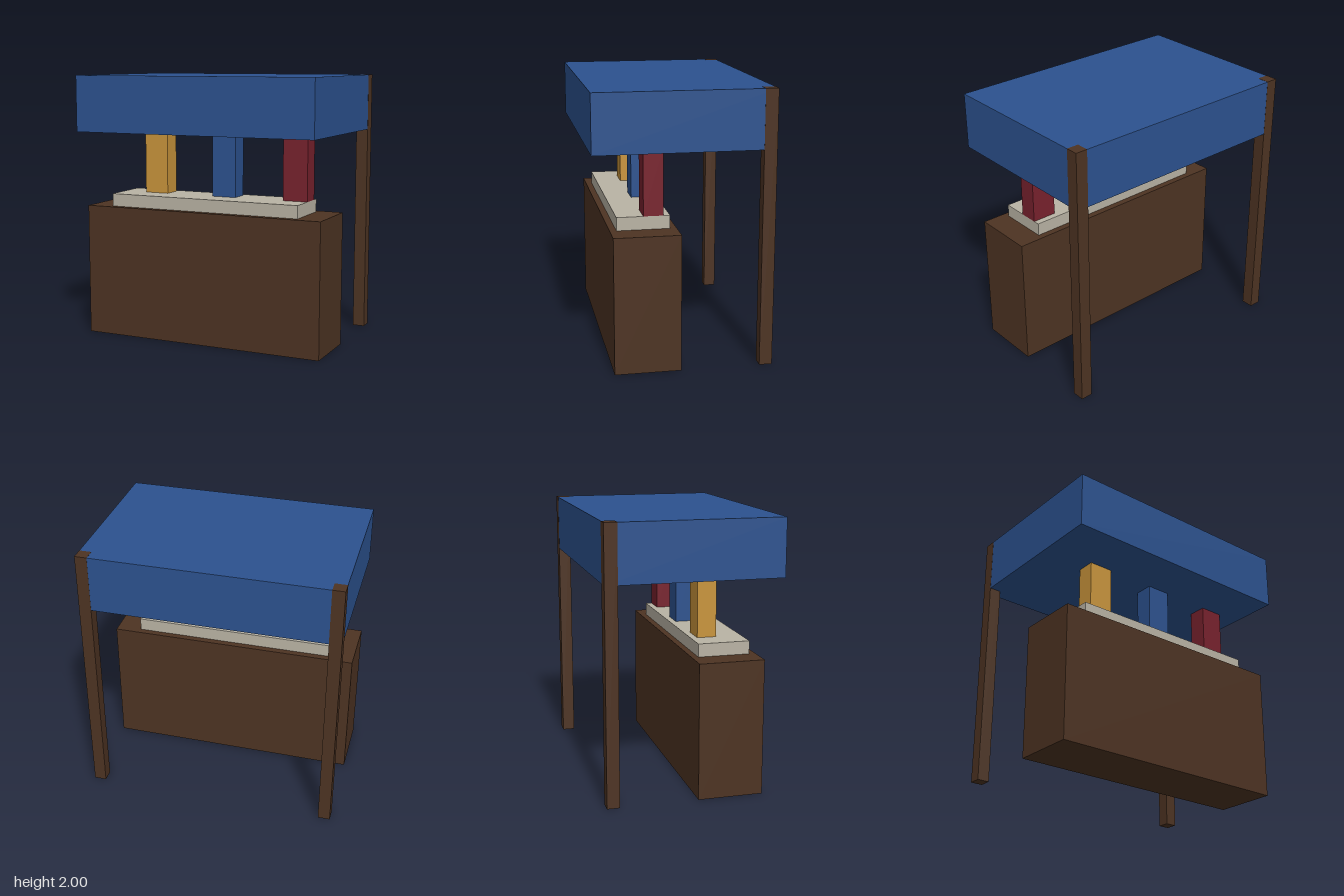
import * as THREE from 'three';

const paint = (name, color) => {
  const m = new THREE.MeshStandardMaterial({ color });
  m.name = name;
  return m;
};

export function createModel() {
  const group = new THREE.Group();
  const wood = paint('dark brown wood', 0x4d3322);
  const blue = paint('blue', 0x2c528f);
  const stone = paint('pale stone', 0xb9b3a4);
  const amber = paint('amber', 0xc9943b);
  const red = paint('dark red', 0x78212d);

  // Box given by its minimum and maximum corners
  const box = (name, material, [x0, y0, z0], [x1, y1, z1]) => {
    const mesh = new THREE.Mesh(new THREE.BoxGeometry(x1 - x0, y1 - y0, z1 - z0), material);
    mesh.position.set((x0 + x1) / 2, (y0 + y1) / 2, (z0 + z1) / 2);
    mesh.name = name;
    group.add(mesh);
  };

  // Counter with a display board on top
  box('counter', wood, [-0.95, 0, 0.025], [0.95, 1, 0.503]);
  box('displayBoard', stone, [-0.76, 1, 0.073], [0.76, 1.096, 0.455]);

  // Three evenly spaced goods, reaching up to the canopy
  [['amberGoods', amber], ['blueGoods', blue], ['redGoods', red]].forEach(([name, material], i) => {
    const x = -0.573 + i * 0.572;
    box(name, material, [x, 1.096, 0.121], [x + 0.19, 1.577, 0.264]);
  });

  // Canopy
  box('canopy', blue, [-0.95, 1.577, -0.64], [0.95, 2, 0.644]);

  // Rear posts, a hair proud of the canopy faces
  const e = 0.001;
  box('rightPost', wood, [-0.95 - e, 0, -0.64 - e], [-0.86, 2 + e, -0.548]);
  box('leftPost', wood, [0.86, 0, -0.64 - e], [0.95 + e, 2 + e, -0.548]);

  return group;
}
